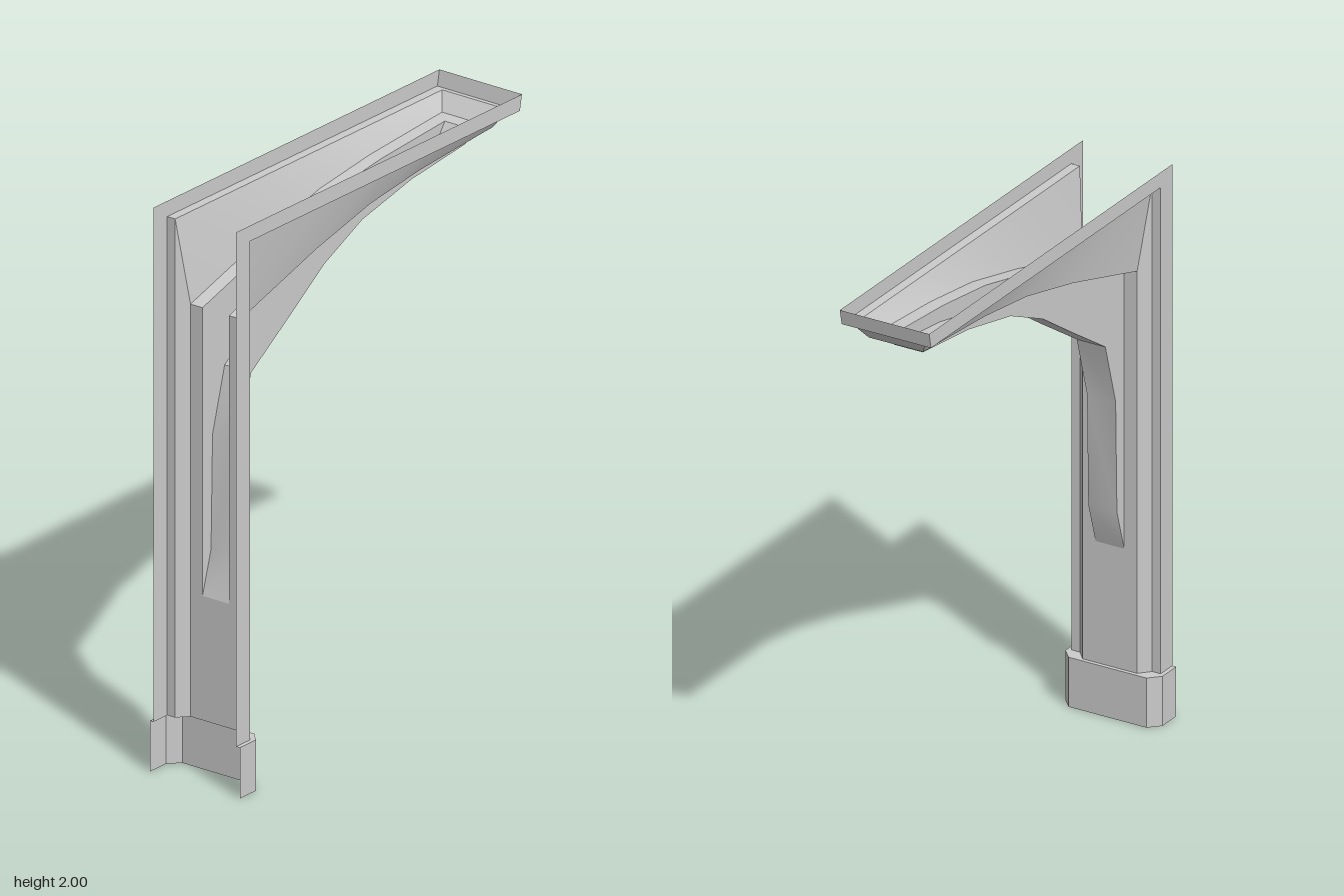
import * as THREE from 'three';
import { toCreasedNormals } from 'three/addons/utils/BufferGeometryUtils.js';

const material = new THREE.MeshStandardMaterial({ color: 0xcccccc, side: THREE.DoubleSide });

// Skin between neighbouring rails, each a list of [x, y, z] with equal counts
function loft(rails) {
  const pos = [];
  for (let r = 0; r < rails.length - 1; r++) {
    const a = rails[r], b = rails[r + 1];
    for (let i = 0; i < a.length - 1; i++) {
      pos.push(...a[i], ...b[i], ...a[i + 1], ...b[i], ...b[i + 1], ...a[i + 1]);
    }
  }
  const geometry = new THREE.BufferGeometry();
  geometry.setAttribute('position', new THREE.Float32BufferAttribute(pos, 3));
  return toCreasedNormals(geometry, 0.5);
}

const mirror = (rail) => rail.map(([x, y, z]) => [-x, y, z]);
const wrap = (rail) => [...rail, ...mirror(rail).reverse()];

export function createModel() {
  const group = new THREE.Group();
  const add = (name, geometry) => {
    const mesh = new THREE.Mesh(geometry, material);
    mesh.name = name;
    group.add(mesh);
  };

  const baseTop = 0.18, faceX = 0.105, ribX = 0.055, faceZ = 0.645;

  // Lower edge of the arm as [z, y], from the post to the tip
  const arch = [[faceZ, 1.64], [0.245, 1.76], [-0.04, 1.828], [-0.3, 1.862], [-0.635, 1.886], [-0.684, 1.889]];
  // Curved brace under the arm as [z, y]
  const brace = [[faceZ, 0.62], [0.6, 0.77], [0.592, 1.175], [0.528, 1.4], [0.324, 1.535], [0.14, 1.66],
    [-0.06, 1.752], [-0.32, 1.81], [-0.605, 1.843], [-0.635, 1.886]];

  // Straight rail: up the post, then along the arm in step with the arch
  const straight = (x, y, zPost, zTip) => [
    [x, baseTop, zPost], [x, 0.62, zPost],
    ...arch.map(([z]) => [x, y, THREE.MathUtils.mapLinear(z, faceZ, -0.684, zPost, zTip)]),
  ];
  const curved = (x) => [[x, baseTop, faceZ], [x, 0.62, faceZ], ...arch.map(([z, y]) => [x, y, z])];

  const outer = straight(0.172, 2, 0.755, -0.755);
  const lip = straight(0.172, 1.945, 0.683, -0.744);
  const step = straight(0.139, 1.945, 0.683, -0.728);
  const edge = curved(faceX);
  const slot = curved(ribX);

  // Rim and sloping side webs, running around the tip
  add('rimFlange', loft([wrap(outer), wrap(lip), wrap(step)]));
  add('sideWebs', loft([wrap(step), wrap(edge)]));

  // Face strips either side of the brace, and the plates closing the ends
  add('leftFaceStrip', loft([edge, slot]));
  add('rightFaceStrip', loft([mirror(slot), mirror(edge)]));
  add('postFacePlate', loft([slot.slice(0, 2), mirror(slot.slice(0, 2))]));
  add('tipPlate', loft([slot.slice(-2), mirror(slot.slice(-2))]));

  // Hollow brace
  const braceRail = brace.map(([z, y]) => [ribX, y, z]);
  add('braceFace', loft([braceRail, mirror(braceRail)]));
  const braceOutline = [...brace, ...arch.slice(0, -2).reverse()];
  for (const s of [1, -1]) {
    const shape = new THREE.Shape(braceOutline.map(([z, y]) => new THREE.Vector2(-s * z, y)));
    const side = new THREE.ShapeGeometry(shape);
    side.rotateY(s * Math.PI / 2).translate(s * ribX, 0, 0);
    add(s > 0 ? 'leftBraceSide' : 'rightBraceSide', side);
  }

  // Plinth with chamfered corners and a ledge meeting the post
  const plan = (points, y) => wrap(points.map(([x, z]) => [x, y, z]));
  const postPlan = [[0.172, 0.755], [0.172, 0.683], [0.139, 0.683], [faceX, faceZ]];
  const plinthPlan = [[0.187, 0.755], [0.187, 0.67], [0.169, 0.651], [0.15, 0.631]];
  add('plinth', loft([plan(postPlan, baseTop), plan(plinthPlan, baseTop), plan(plinthPlan, 0)]));

  return group;
}
